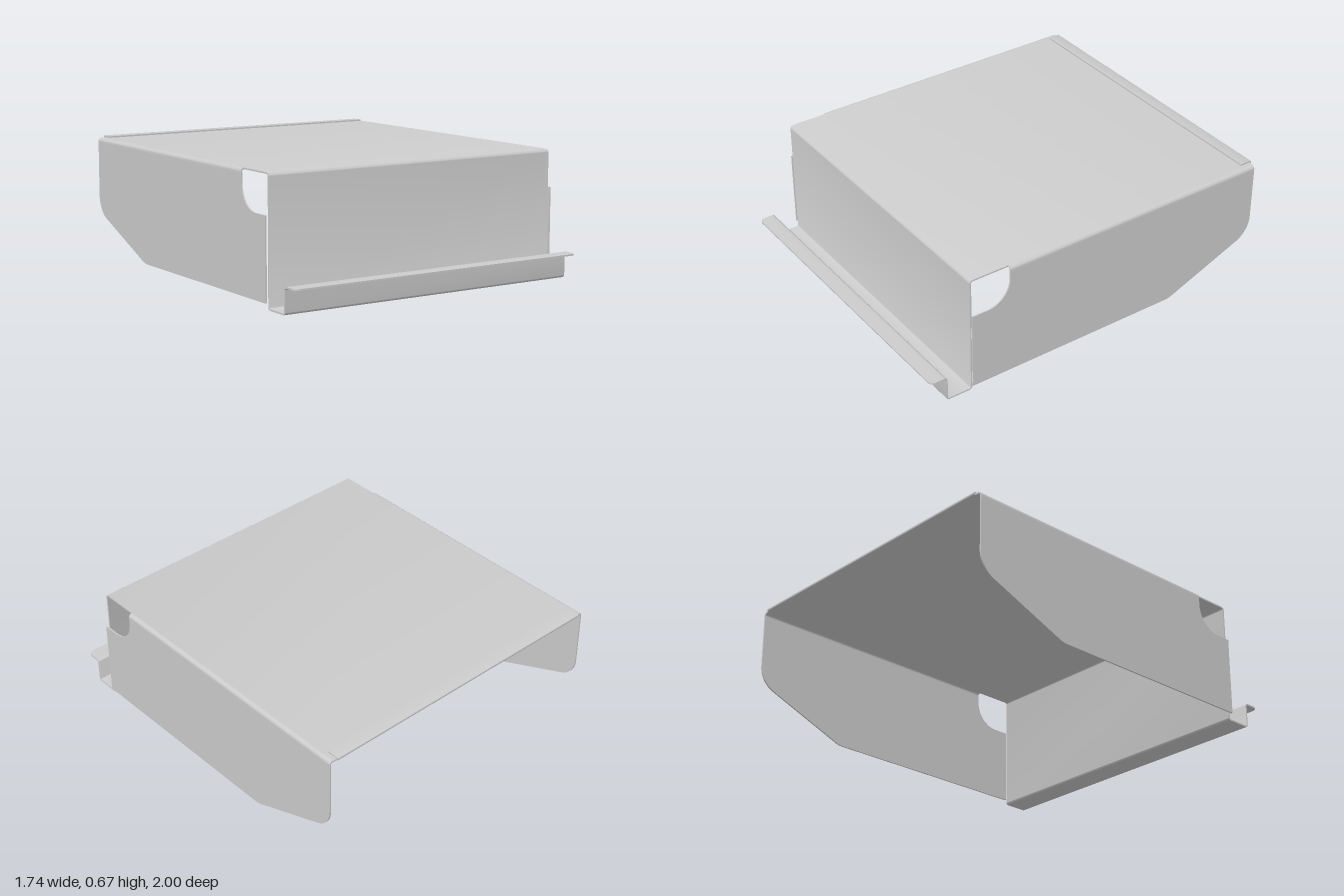
import * as THREE from 'three';
import { toCreasedNormals } from 'three/addons/utils/BufferGeometryUtils.js';

const T = 0.008; // sheet thickness
const material = new THREE.MeshStandardMaterial({ color: 0xcccccc, side: THREE.DoubleSide });
const V = (x, y) => new THREE.Vector2(x, y);

// Polyline [x, y, radius] with its corners rounded by arcs
function rounded(points, closed = false, steps = 8) {
  const out = [], n = points.length;
  points.forEach(([x, y, r = 0], i) => {
    const p = V(x, y);
    if (!r || (!closed && (i === 0 || i === n - 1))) return out.push(p);
    const [a, b] = [points[(i + n - 1) % n], points[(i + 1) % n]]
      .map(q => V(q[0] - x, q[1] - y).normalize());
    const half = Math.acos(THREE.MathUtils.clamp(a.dot(b), -1, 1)) / 2;
    const c = a.clone().add(b).normalize().multiplyScalar(r / Math.sin(half)).add(p);
    const start = p.clone().addScaledVector(a, r / Math.tan(half)).sub(c);
    const turn = Math.sign(a.cross(b)) * -(Math.PI - 2 * half);
    for (let k = 0; k <= steps; k++) {
      out.push(start.clone().rotateAround(V(0, 0), turn * k / steps).add(c));
    }
  });
  return out;
}

// Closed outline of a bent sheet that follows a centre line
function sheet(points) {
  const path = rounded(points), left = [], right = [];
  path.forEach((p, i) => {
    const prev = path[Math.max(i - 1, 0)], next = path[Math.min(i + 1, path.length - 1)];
    const d1 = (i ? p.clone().sub(prev) : next.clone().sub(p)).normalize();
    const d2 = (next !== p ? next.clone().sub(p) : d1.clone()).normalize();
    const d = d1.clone().add(d2).normalize();
    const w = T / 2 / d.dot(d1);
    left.push(V(p.x - d.y * w, p.y + d.x * w));
    right.unshift(V(p.x + d.y * w, p.y - d.x * w));
  });
  return left.concat(right);
}

function extrude(outline, depth) {
  const g = new THREE.ExtrudeGeometry(new THREE.Shape(outline), { depth, bevelEnabled: false });
  return g.translate(0, 0, -depth / 2);
}

export function createModel() {
  const group = new THREE.Group();
  const add = (name, geometry) => {
    const mesh = new THREE.Mesh(toCreasedNormals(geometry, 0.5), material);
    mesh.name = name;
    group.add(mesh);
    return mesh;
  };
  // Outlines drawn in (z, y) and extruded across x
  const across = (outline, width) => extrude(outline, width).rotateY(-Math.PI / 2);

  // Front channel, front wall and top in one bent sheet
  add('topAndFrontSheet', across(sheet([
    [0.95, 0.134], [0.909, 0.134, 0.014], [0.909, 0.004, 0.012],
    [0.767, 0.004, 0.012], [0.767, 0.651, 0.014], [-0.99, 0.651],
  ]), 1.7));

  // Front edge of the lip, with rounded corners
  const lip = rounded([[-0.85, 0.95], [0.85, 0.95], [0.85, 1, 0.03], [-0.85, 1, 0.03]], true);
  add('frontLip', extrude(lip, T).rotateX(Math.PI / 2).translate(0, 0.134, 0));

  // Folded hem on the rear edge
  add('rearHem', across(sheet([
    [-0.975, 0.651], [-0.996, 0.651, 0.0049], [-0.996, 0.661, 0.0049], [-0.93, 0.661],
  ]), 1.66));

  // Side walls with front notch and sloping rear, and the bends joining them to the top
  const side = rounded([
    [0.77, 0.035], [0.77, 0.455], [0.55, 0.455, 0.135], [0.55, 0.632],
    [-0.988, 0.632], [-0.988, 0.25, 0.135], [-0.455, 0.035, 0.135],
  ], true, 16);
  for (const [s, label] of [[1, 'left'], [-1, 'right']]) {
    add(label + 'SideWall', across(side, T)).position.x = s * 0.8655;
    const bend = sheet([[s * 0.849, 0.651], [s * 0.8655, 0.651, 0.015], [s * 0.8655, 0.632]]);
    add(label + 'TopBend', extrude(bend, 1.538)).position.z = -0.219;
  }
  return group;
}
